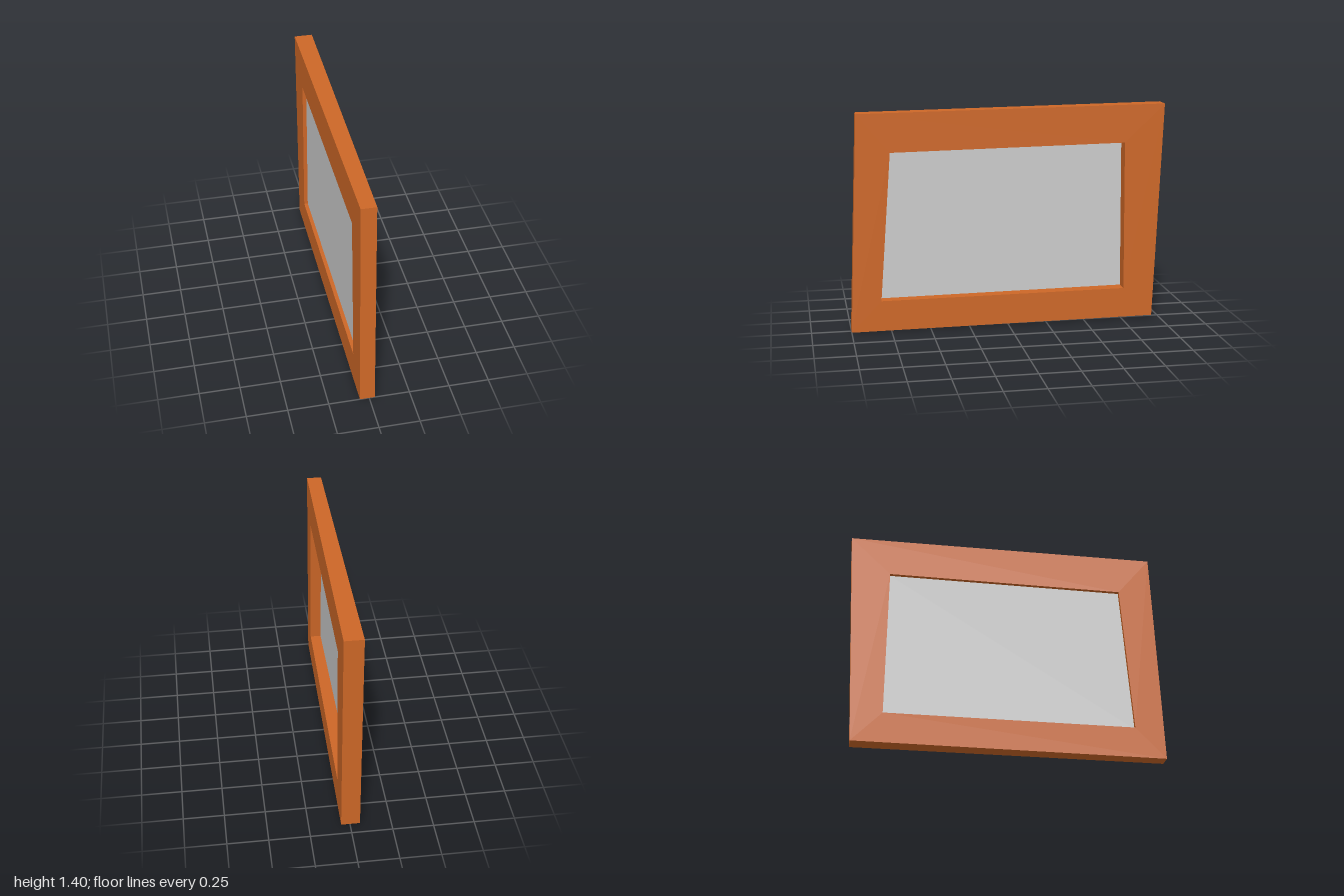
import * as THREE from 'three';

// Corners as [z, y], in order: front top, rear top, rear bottom, front bottom
const OUTER = [[0.944, 1.38], [-1, 1.405], [-0.944, 0.02], [1, 0]];
const INNER = [[0.74, 1.137], [-0.745, 1.162], [-0.754, 0.21], [0.81, 0.196]];
const BACK_X = -0.058;
const PANEL_X = -0.033;

// The face of the frame tapers slightly from rear to front
const faceX = (z) => 0.046 - 0.0115 * z;

// Geometry from four-cornered faces, corners anticlockwise seen from outside
function quads(faces) {
  const positions = faces.flatMap(([a, b, c, d]) => [a, b, c, a, c, d].flat());
  const geometry = new THREE.BufferGeometry();
  geometry.setAttribute('position', new THREE.Float32BufferAttribute(positions, 3));
  geometry.computeVertexNormals();
  return geometry;
}

const onFace = ([z, y]) => [faceX(z), y, z];
const onBack = ([z, y]) => [BACK_X, y, z];

// One mitred rail between corner i and the next
function railGeometry(i) {
  const j = (i + 1) % 4;
  const section = (k) => [onFace(OUTER[k]), onFace(INNER[k]), onBack(INNER[k]), onBack(OUTER[k])];
  const a = section(i);
  const b = section(j);
  const faces = a.map((p, k) => {
    const n = (k + 1) % 4;
    return [p, a[n], b[n], b[k]];
  });
  return quads(faces);
}

export function createModel() {
  const group = new THREE.Group();
  group.name = 'pictureFrame';
  const wood = new THREE.MeshStandardMaterial({ color: 0xcd6727, flatShading: true });
  const grey = new THREE.MeshStandardMaterial({ color: 0xcccccc, side: THREE.DoubleSide });

  // Mitred surround
  ['topRail', 'rearStile', 'bottomRail', 'frontStile'].forEach((name, i) => {
    const rail = new THREE.Mesh(railGeometry(i), wood);
    rail.name = name;
    group.add(rail);
  });

  // Thin panel set deep in the opening, near the back
  const corners = INNER.map(([z, y]) => [PANEL_X, y, z]).reverse();
  const panel = new THREE.Mesh(quads([corners]), grey);
  panel.name = 'panel';
  group.add(panel);

  return group;
}
